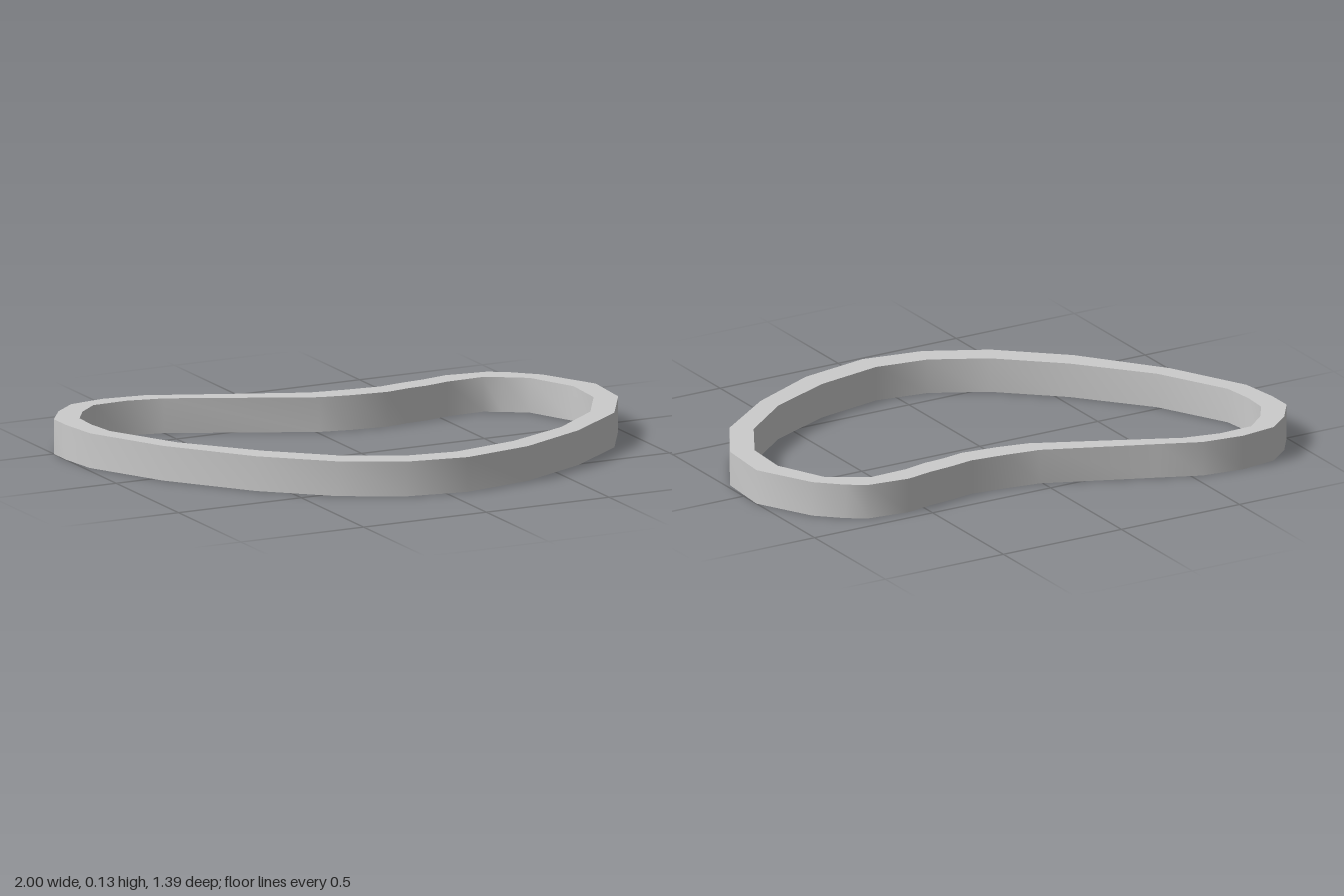
import * as THREE from 'three';
import { toCreasedNormals } from 'three/addons/utils/BufferGeometryUtils.js';

const HEIGHT = 0.13;

// Plan outlines as [x, z]; the inner one runs the opposite way so its wall faces the opening
const OUTER = [
  [-1, -0.5], [-0.93, -0.6], [-0.84, -0.675], [-0.7, -0.695], [-0.54, -0.675], [-0.39, -0.61],
  [0.01, -0.44], [0.14, -0.42], [0.28, -0.405], [0.37, -0.42], [0.47, -0.43], [0.57, -0.45],
  [0.73, -0.43], [0.8, -0.385], [0.89, -0.3], [1, -0.09], [0.985, 0.12], [0.86, 0.335],
  [0.62, 0.515], [0.35, 0.645], [0.08, 0.695], [-0.15, 0.655], [-0.37, 0.54], [-0.6, 0.335],
  [-0.83, 0.04], [-0.98, -0.25], [-1, -0.4],
];
const INNER = [
  [-0.915, -0.37], [-0.9, -0.25], [-0.76, 0.015], [-0.54, 0.27], [-0.32, 0.465], [-0.12, 0.57],
  [0.08, 0.6], [0.34, 0.55], [0.59, 0.44], [0.79, 0.28], [0.9, 0.09], [0.91, -0.09],
  [0.825, -0.275], [0.74, -0.33], [0.68, -0.365], [0.53, -0.36], [0.44, -0.34], [0.36, -0.335],
  [0.27, -0.32], [0.13, -0.335], [0.01, -0.36], [-0.5, -0.6], [-0.64, -0.63], [-0.775, -0.625],
  [-0.855, -0.555], [-0.91, -0.47],
];

const toPoints = (outline) => outline.map(([x, z]) => new THREE.Vector2(x, -z));

export function createModel() {
  const group = new THREE.Group();
  group.name = 'kidneyRing';

  // Flat band standing on the ground: outline with a hole, raised along y
  const shape = new THREE.Shape(toPoints(OUTER));
  shape.holes.push(new THREE.Path(toPoints(INNER)));
  const extruded = new THREE.ExtrudeGeometry(shape, { depth: HEIGHT, bevelEnabled: false });
  extruded.rotateX(-Math.PI / 2);

  // Walls shade smoothly, top and bottom rims stay sharp
  const ring = new THREE.Mesh(
    toCreasedNormals(extruded, Math.PI / 3),
    new THREE.MeshStandardMaterial({ color: 0xcccccc }),
  );
  ring.name = 'ringBand';
  group.add(ring);
  return group;
}
